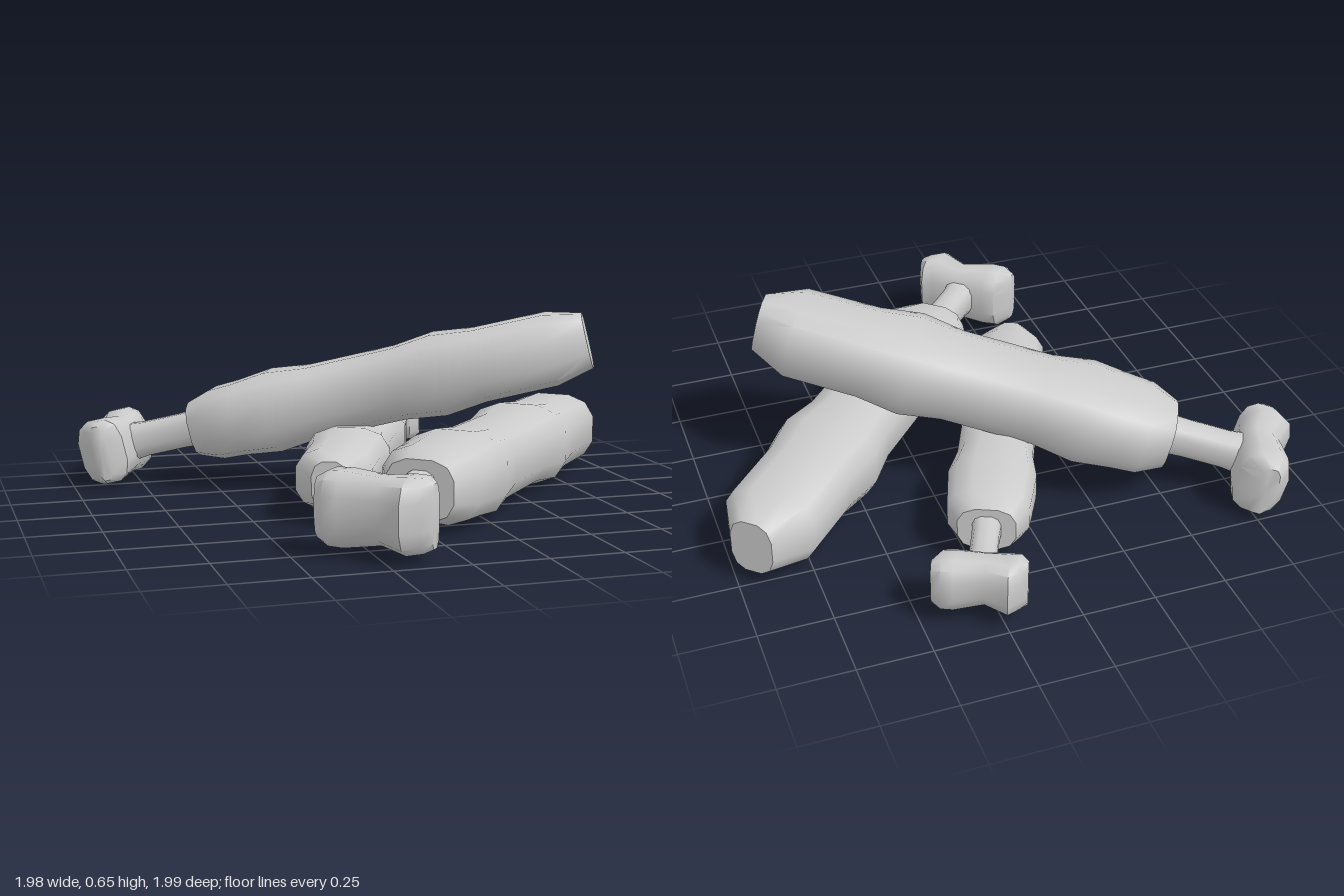
import * as THREE from 'three';
import { toCreasedNormals } from 'three/addons/utils/BufferGeometryUtils.js';

const SIDES = 12;
const material = new THREE.MeshStandardMaterial({ color: 0xcccccc });

// Lofts rounded-rectangle rings along x. Each ring: [x, half height, half width, z offset]
function loft(rings) {
  const pos = [], index = [];
  const soft = v => Math.sign(v) * Math.pow(Math.abs(v), 0.72);
  for (const [x, h, w, z = 0] of rings) {
    for (let j = 0; j < SIDES; j++) {
      const a = ((j + 0.5) / SIDES) * Math.PI * 2;
      const k = 1 / soft(Math.cos(Math.PI / SIDES)); // flats reach the full size
      pos.push(x, h * k * soft(Math.cos(a)), z + w * k * soft(Math.sin(a)));
    }
  }
  const last = rings.length - 1;
  for (let i = 0; i < last; i++) {
    for (let j = 0; j < SIDES; j++) {
      const a = i * SIDES + j, b = i * SIDES + ((j + 1) % SIDES);
      index.push(a, b, a + SIDES, b, b + SIDES, a + SIDES);
    }
  }
  // End caps
  const c0 = pos.length / 3, c1 = c0 + 1;
  pos.push(rings[0][0], 0, rings[0][3] || 0, rings[last][0], 0, rings[last][3] || 0);
  for (let j = 0; j < SIDES; j++) {
    const n = (j + 1) % SIDES;
    index.push(c0, n, j, c1, last * SIDES + j, last * SIDES + n);
  }
  const g = new THREE.BufferGeometry();
  g.setAttribute('position', new THREE.Float32BufferAttribute(pos, 3));
  g.setIndex(index);
  return toCreasedNormals(g, 0.9);
}

// Bulging meat, its long axis along x
const meatGeometry = loft([
  [0.32, 0.1, 0.12], [0.41, 0.128, 0.17], [0.5, 0.132, 0.178], [0.63, 0.147, 0.187],
  [0.78, 0.13, 0.162], [1.1, 0.13, 0.162], [1.25, 0.147, 0.186],
  [1.4, 0.13, 0.165], [1.66, 0.128, 0.163], [1.79, 0.098, 0.075],
]);

// Thin bone between the knob and the meat
const shaftGeometry = loft([[0, 0.075, 0.07], [0.12, 0.062, 0.056], [0.26, 0.062, 0.056], [0.42, 0.07, 0.065]]);

// Two-lobed knob, lofted across the bone
const knobGeometry = loft([
  [-0.19, 0.095, 0.035, 0.02], [-0.15, 0.118, 0.085, 0.005], [-0.1, 0.12, 0.088, 0.002],
  [0.02, 0.105, 0.073, -0.013], [0.115, 0.12, 0.092, 0.013],
  [0.16, 0.115, 0.073, -0.008], [0.19, 0.1, 0.03, 0],
]).rotateY(-Math.PI / 2);

function makeDrumstick(name, { at, toward, tilt = 0, scale = 1 }) {
  const stick = new THREE.Group();
  stick.name = name;
  for (const [part, geometry] of [['meat', meatGeometry], ['boneShaft', shaftGeometry], ['boneKnob', knobGeometry]]) {
    const mesh = new THREE.Mesh(geometry, material);
    mesh.name = part;
    stick.add(mesh);
  }
  stick.position.set(...at);
  stick.rotation.set(0, Math.atan2(-toward[1], toward[0]), tilt);
  stick.scale.setScalar(scale);
  return stick;
}

export function createModel() {
  const model = new THREE.Group();
  model.name = 'drumstickPile';
  model.add(
    makeDrumstick('frontDrumstick', { at: [-0.247, 0.16, 0.833], toward: [0.668, -0.744] }),
    makeDrumstick('smallDrumstick', { at: [0.31, 0.155, -0.89], toward: [-0.59, 1.3], scale: 0.8 }),
    // Leaning across the other two
    makeDrumstick('topDrumstick', { at: [-0.825, 0.145, -0.585], toward: [1.57, 0.78], tilt: 0.24 }),
  );
  return model;
}
